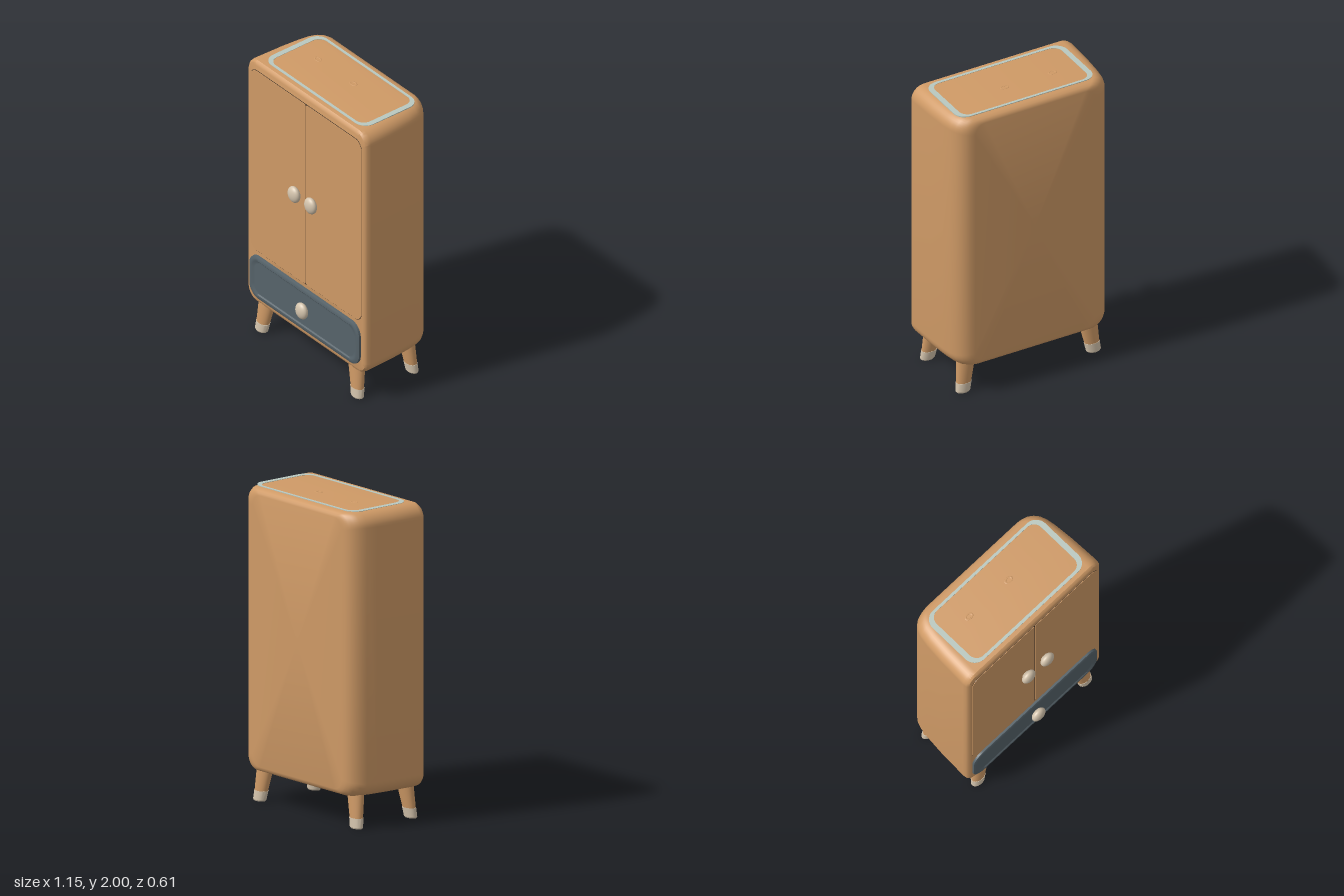
import * as THREE from 'three';
import { toCreasedNormals } from 'three/addons/utils/BufferGeometryUtils.js';

const mat = (name, color) => {
  const m = new THREE.MeshStandardMaterial({ color });
  m.name = name;
  return m;
};

// Rounded rectangle; radii in the order bottom-left, bottom-right, top-right, top-left
function roundedRect(x0, y0, x1, y1, radii, Type = THREE.Shape) {
  const [a, b, c, d] = Array.isArray(radii) ? radii : [radii, radii, radii, radii];
  const s = new Type();
  s.absarc(x0 + a, y0 + a, a, Math.PI, Math.PI * 1.5);
  s.absarc(x1 - b, y0 + b, b, Math.PI * 1.5, Math.PI * 2);
  s.absarc(x1 - c, y1 - c, c, 0, Math.PI / 2);
  s.absarc(x0 + d, y1 - d, d, Math.PI / 2, Math.PI);
  s.closePath();
  return s;
}

// Loft of rounded rectangles from front to back; each section is [z, half width, half height, radius]
function loft(sections) {
  const seg = 10, n = 4 * (seg + 1), pos = [], idx = [];
  for (const [z, w, h, r] of sections) {
    for (let q = 0; q < 4; q++) {
      const sx = q === 0 || q === 3 ? 1 : -1, sy = q < 2 ? 1 : -1;
      for (let i = 0; i <= seg; i++) {
        const a = (q + i / seg) * Math.PI / 2;
        pos.push(sx * (w - r) + r * Math.cos(a), sy * (h - r) + r * Math.sin(a), z);
      }
    }
  }
  for (let k = 0; k < sections.length - 1; k++) {
    for (let i = 0; i < n; i++) {
      const a = k * n + i, b = k * n + (i + 1) % n;
      idx.push(a, a + n, b, b, a + n, b + n);
    }
  }
  const last = (sections.length - 1) * n;
  pos.push(0, 0, sections[0][0], 0, 0, sections[sections.length - 1][0]);
  const f = last + n;
  for (let i = 0; i < n; i++) {
    const j = (i + 1) % n;
    idx.push(f, i, j, f + 1, last + j, last + i);
  }
  const g = new THREE.BufferGeometry();
  g.setAttribute('position', new THREE.Float32BufferAttribute(pos, 3));
  g.setIndex(idx);
  return toCreasedNormals(g, 0.6);
}

export function createModel() {
  const wood = mat('wood', 0xcf9a66);
  const slate = mat('slate', 0x56636a);
  const cream = mat('cream', 0xd3c3ac);
  const pale = mat('pale inlay', 0xb9c8bf);
  const dark = mat('dark gap', 0x4a3a2c);

  const root = new THREE.Group();
  root.name = 'wardrobe';
  const add = (name, geo, material, x = 0, y = 0, z = 0, parent = root) => {
    const m = new THREE.Mesh(geo, material);
    m.name = name;
    m.position.set(x, y, z);
    parent.add(m);
    return m;
  };
  const plate = (shape, depth) =>
    new THREE.ExtrudeGeometry(shape, { depth, bevelEnabled: false, curveSegments: 10 });

  // Cabinet: crisp at the front, softly rounded at the back
  add('cabinet', loft([
    [0.243, 0.545, 0.868, 0.07],
    [0.238, 0.562, 0.885, 0.08],
    [0.225, 0.573, 0.896, 0.09],
    [0.2, 0.576, 0.898, 0.09],
    [0.0, 0.568, 0.898, 0.09],
    [-0.13, 0.557, 0.898, 0.09],
    [-0.2, 0.545, 0.898, 0.09],
    [-0.24, 0.53, 0.897, 0.09],
    [-0.27, 0.508, 0.893, 0.09],
    [-0.29, 0.483, 0.884, 0.085],
    [-0.301, 0.455, 0.872, 0.08],
    [-0.305, 0.425, 0.858, 0.07],
  ]), wood, 0, 1.1, 0);

  // Double doors over a thin dark gap
  add('doorGap', plate(roundedRect(-0.535, 0.592, 0.535, 1.936, 0.06), 0.002), dark, 0, 0, 0.242);
  for (const s of [1, -1]) {
    const shape = s > 0
      ? roundedRect(0.003, 0.596, 0.536, 1.932, [0.012, 0.065, 0.065, 0.012])
      : roundedRect(-0.536, 0.596, -0.003, 1.932, [0.065, 0.012, 0.012, 0.065]);
    add(s > 0 ? 'leftDoor' : 'rightDoor', plate(shape, 0.005), wood, 0, 0, 0.242);
  }

  // Drawer front with a stepped border
  add('drawer', loft([
    [0.256, 0.478, 0.108, 0.055],
    [0.256, 0.49, 0.118, 0.06],
    [0.262, 0.5, 0.126, 0.065],
    [0.262, 0.515, 0.142, 0.075],
    [0.256, 0.53, 0.155, 0.085],
    [0.235, 0.533, 0.157, 0.085],
  ]), slate, -0.004, 0.41, 0);

  // Knobs: short neck and squashed ball
  const ball = new THREE.SphereGeometry(1, 28, 18);
  const neck = new THREE.CylinderGeometry(0.025, 0.03, 0.04, 20).rotateX(Math.PI / 2);
  for (const [name, x, y, z] of [
    ['leftDoorKnob', 0.08, 1.235, 0.274],
    ['rightDoorKnob', -0.08, 1.235, 0.274],
    ['drawerKnob', 0, 0.412, 0.279],
  ]) {
    const knob = new THREE.Group();
    knob.name = name;
    knob.position.set(x, y, z);
    add('ball', ball, cream, 0, 0, 0, knob).scale.set(0.051, 0.056, 0.03);
    add('neck', neck, cream, 0, 0, -0.02, knob);
    root.add(knob);
  }

  // Tapered oval legs, splayed outwards, with pale feet
  const legPart = (y0, y1, r0, r1, sx, sz) => {
    const g = new THREE.CylinderGeometry(r1, r0, y1 - y0, 24);
    g.translate(0, (y0 + y1) / 2, 0);
    const p = g.attributes.position;
    for (let i = 0; i < p.count; i++) {
      const out = 1 - p.getY(i) / 0.22;
      p.setX(i, p.getX(i) + sx * (0.432 + 0.032 * out));
      p.setZ(i, p.getZ(i) * 0.68 + sz * (0.196 + 0.021 * out));
    }
    g.computeVertexNormals();
    return toCreasedNormals(g, 0.7);
  };
  for (const sx of [1, -1]) {
    for (const sz of [1, -1]) {
      const leg = new THREE.Group();
      leg.name = (sz > 0 ? 'front' : 'back') + (sx > 0 ? 'Left' : 'Right') + 'Leg';
      add('shaft', legPart(0.06, 0.24, 0.05, 0.066, sx, sz), wood, 0, 0, 0, leg);
      add('foot', legPart(0.008, 0.065, 0.05, 0.053, sx, sz), cream, 0, 0, 0, leg);
      add('sole', legPart(0, 0.008, 0.044, 0.05, sx, sz), cream, 0, 0, 0, leg);
      root.add(leg);
    }
  }

  // Pale inlaid band on the top
  const band = roundedRect(-0.472, -0.198, 0.5, 0.248, 0.08);
  band.holes.push(roundedRect(-0.436, -0.178, 0.464, 0.23, 0.06, THREE.Path));
  add('topInlay', plate(band, 0.006).rotateX(-Math.PI / 2), pale, 0, 1.994, 0);

  // Two small dimple rims on the top
  for (const x of [-0.26, 0.08]) {
    const rim = add('topDimple', new THREE.TorusGeometry(0.022, 0.008, 8, 24).rotateX(Math.PI / 2),
      wood, x, 1.997, -0.065);
    rim.scale.set(1.1, 0.35, 0.7);
  }
  return root;
}
